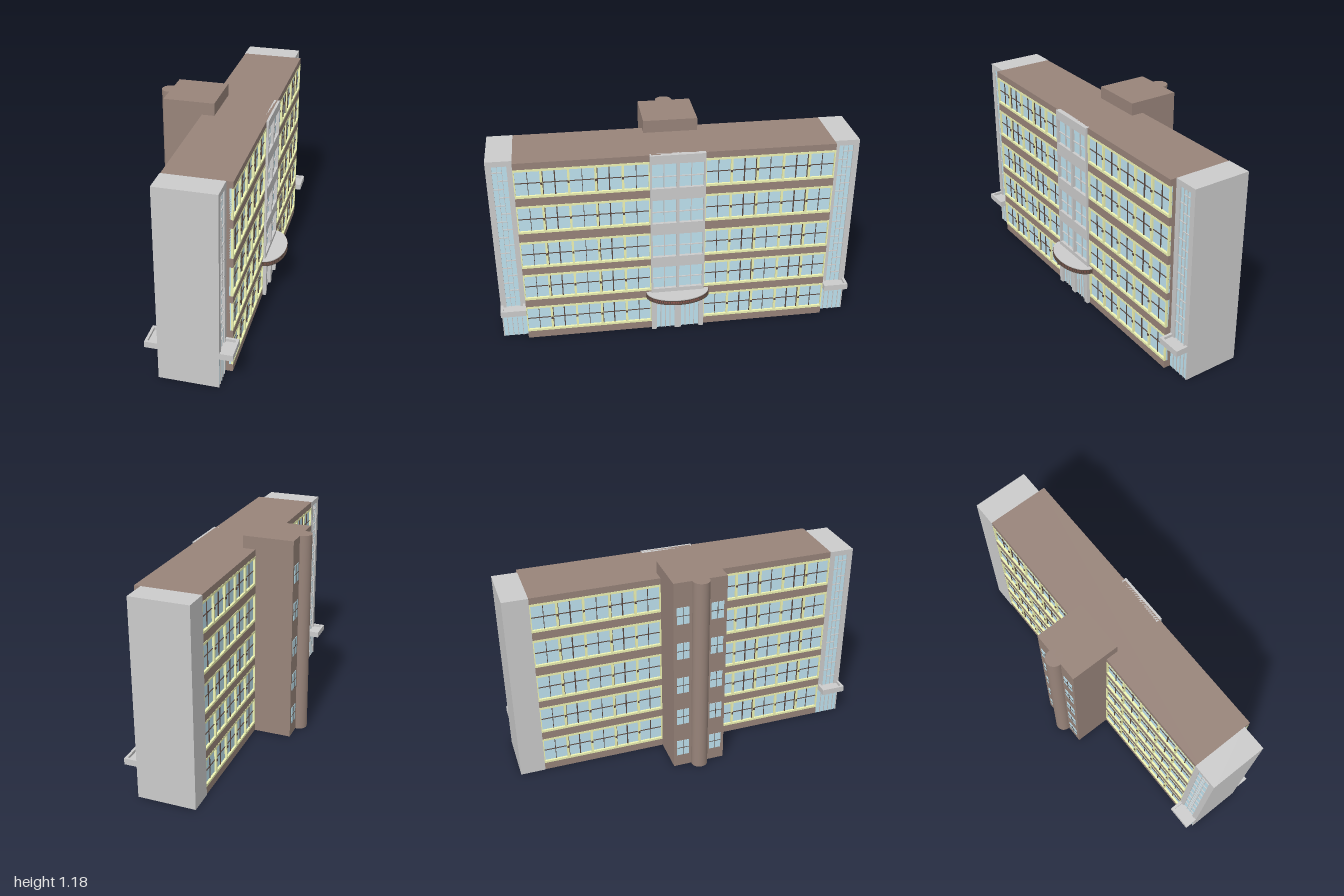
import * as THREE from 'three';
import { mergeGeometries } from 'three/addons/utils/BufferGeometryUtils.js';

const GREY = 0xcccccc, BROWN = 0x98847a, GLASS = 0xbfe3f0, YELLOW = 0xf0f5b4, DARK = 0x5c4a42, RED = 0x94584e;

export function createModel() {
  const model = new THREE.Group();
  const parts = new Map();

  // collects geometry under a part name, merged into one mesh at the end
  const add = (name, color, geo) => {
    if (!parts.has(name)) parts.set(name, { color, list: [] });
    parts.get(name).list.push(geo.index ? geo.toNonIndexed() : geo);
  };
  const box = (name, color, x0, x1, y0, y1, z0, z1) => {
    const g = new THREE.BoxGeometry(Math.abs(x1 - x0), Math.abs(y1 - y0), Math.abs(z1 - z0));
    g.translate((x0 + x1) / 2, (y0 + y1) / 2, (z0 + z1) / 2);
    add(name, color, g);
  };

  const X0 = -0.1, X1 = 0.255, TOP = 1.11, END = 0.86, MID = 0.15;
  const floors = [0.045, 0.26, 0.47, 0.69, 0.905];
  const H = 0.168;

  // main block: recessed core with projecting floor bands
  box('mainBlock', BROWN, X0 + 0.015, X1 - 0.015, 0, TOP, -END, END);
  [0, ...floors.map(y => y + H)].forEach((y, i) =>
    box('floorBands', BROWN, X0, X1, y, i < 5 ? floors[i] : TOP, -END, END));

  // ribbon windows on both long sides, five bays each side of the middle
  const bay = (END - MID) / 5;
  for (const [face, out] of [[X1, 1], [X0, -1]]) {
    const at = d => face + out * d;
    for (const m of [1, -1]) for (const y of floors) {
      const a = m * MID, b = m * END, top = y + H;
      box('windowGlass', GLASS, at(-0.02), at(-0.011), y, top, a, b);
      box('windowFrames', YELLOW, at(-0.014), at(0.001), y, y + 0.013, a, b);
      box('windowFrames', YELLOW, at(-0.014), at(0.001), top - 0.013, top, a, b);
      box('windowBars', DARK, at(-0.012), at(-0.007), y + 0.082, y + 0.086, a, b);
      for (let i = 0; i <= 5; i++) {
        const z = MID + i * bay;
        const z0 = i === 0 ? z : z - 0.006, z1 = i === 5 ? z : z + 0.006;
        box('windowFrames', YELLOW, at(-0.014), at(0.001), y, top, m * z0, m * z1);
        if (i > 0 && i < 5)
          box('windowKnobs', DARK, at(0), at(0.006), y + 0.078, y + 0.09, m * (z - 0.005), m * (z + 0.005));
        // alternate bays are split into narrow casements
        const splits = i === 5 ? [] : i % 2 ? [0.5, 0.95] : [0.5];
        for (const f of splits) {
          const s = z + f * bay, w = i % 2 ? 0.003 : 0.0015;
          box('windowBars', DARK, at(-0.012), at(-0.006), y, top, m * (s - w), m * (s + w));
        }
      }
    }
  }

  // end stair blocks; blank outside, glazed strip on the facades
  const EX = 0.22;
  for (const m of [1, -1]) {
    box('endBlocks', GREY, X0 - 0.002 + 0.012, EX - 0.012, 0, TOP, m * END, m);
    const sides = m > 0 ? [[EX, 1], [X0 - 0.003, -1]] : [[EX, 1]];
    if (m < 0) box('endBlocks', GREY, X0 - 0.003, 0, 0, TOP, m * END, m);
    for (const [face, out] of sides) {
      const at = d => face + out * d;
      const wall = (y0, y1, z0, z1) => box('endBlocks', GREY, at(-0.03), face, y0, y1, m * z0, m * z1);
      wall(0.18, TOP, END, 0.89);
      wall(0.18, TOP, 0.968, 1);
      wall(1.08, TOP, 0.89, 0.968);
      wall(0, 0.18, 0.994, 1);
      box('stairGlass', GLASS, at(-0.03), at(-0.008), 0.2, 1.08, m * 0.89, m * 0.968);
      box('entryGlass', GLASS, at(-0.03), at(-0.004), 0, 0.18, m * END, m * 0.994);
      // staggered glazing bars
      for (let i = 0; i < 17; i++) {
        const y = 0.26 + i * 0.049, left = i % 2;
        box('stairBars', GREY, at(-0.01), at(-0.002), y - 0.002, y + 0.002,
          m * (left ? 0.89 : 0.916), m * (left ? 0.942 : 0.968));
      }
      for (const z of [0.916, 0.942])
        box('stairBars', GREY, at(-0.01), at(-0.003), 0.2, 1.08, m * (z - 0.001), m * (z + 0.001));
      for (let i = 1; i < 5; i++) {
        const z = END + i * 0.028;
        box('entryBars', GREY, at(-0.006), at(0), 0, 0.18, m * (z - 0.002), m * (z + 0.002));
      }
      // tray-shaped slab over the ground floor glass
      box('endSlabs', GREY, at(-0.03), at(0.07), 0.18, 0.2, m * END, m);
      box('endSlabs', GREY, at(0.056), at(0.07), 0.2, 0.215, m * END, m);
      box('endSlabs', GREY, at(0), at(0.056), 0.2, 0.215, m * END, m * 0.875);
      box('endSlabs', GREY, at(0), at(0.056), 0.2, 0.215, m * 0.985, m);
    }
  }

  // central bay with paired windows
  const CX = 0.268;
  const bands = [0.17, 0.275, 0.42, 0.485, 0.63, 0.7, 0.845, 0.915, 1.06, TOP];
  for (let i = 0; i < bands.length; i += 2)
    box('centralBay', GREY, 0.235, CX, bands[i], bands[i + 1], -MID, MID);
  for (const [z0, z1] of [[-MID, -0.14], [-0.008, 0.008], [0.14, MID]])
    box('centralBay', GREY, 0.235, CX, 0.17, TOP, z0, z1);
  box('centralGlass', GLASS, 0.235, 0.25, 0.2, 1.08, -0.145, 0.145);
  for (let i = 1; i < bands.length - 1; i += 2) {
    const y0 = bands[i], y1 = bands[i + 1], yc = y0 + (y1 - y0) * 0.45;
    for (const m of [1, -1]) {
      box('centralBars', GREY, 0.248, 0.258, yc - 0.002, yc + 0.002, m * 0.008, m * 0.14);
      box('centralBars', GREY, 0.248, 0.258, y0, y1, m * 0.072, m * 0.076);
    }
  }

  // entrance: posts, lintel and glazed doors
  const DX = 0.275;
  for (const [z0, z1] of [[-MID, -0.122], [-0.018, 0.018], [0.122, MID]])
    box('entrancePosts', GREY, 0.235, DX, 0, 0.175, z0, z1);
  box('entrancePosts', GREY, 0.235, DX, 0.17, 0.22, -MID, MID);
  box('doorGlass', GLASS, 0.235, 0.258, 0, 0.17, -0.125, 0.125);
  for (const z of [-0.096, -0.07, -0.044, 0.044, 0.07, 0.096])
    box('doorBars', GREY, 0.256, 0.264, 0, 0.17, z - 0.002, z + 0.002);

  // half-elliptical canopy with a ribbed rim
  const canopy = (name, color, rx, rz, y, h) => {
    const s = new THREE.Shape();
    s.absellipse(0, 0, rx, rz, -Math.PI / 2, Math.PI / 2, false, 0);
    s.closePath();
    const g = new THREE.ExtrudeGeometry(s, { depth: h, bevelEnabled: false, curveSegments: 32 });
    add(name, color, g.rotateX(-Math.PI / 2).translate(X1, y, 0));
  };
  canopy('canopyTop', GREY, 0.106, 0.178, 0.243, 0.008);
  canopy('canopyRim', RED, 0.102, 0.174, 0.226, 0.017);
  canopy('canopyUnderside', DARK, 0.109, 0.181, 0.22, 0.006);
  canopy('canopyTrim', DARK, 0.109, 0.181, 0.241, 0.005);
  for (let i = 0; i <= 40; i++) {
    const t = (i / 40 - 0.5) * Math.PI;
    const x = X1 + 0.103 * Math.cos(t), z = 0.176 * Math.sin(t);
    box('canopyRibs', DARK, x - 0.002, x + 0.003, 0.224, 0.244, z - 0.002, z + 0.002);
  }

  // rear lift tower with a round shaft and small windows
  const TX = -0.315, TH = 1.18;
  box('rearTower', BROWN, TX, -0.03, 0, TH, -MID, MID);
  add('towerShaft', BROWN, new THREE.CylinderGeometry(0.047, 0.047, TH, 32).translate(TX - 0.007, TH / 2, 0));
  for (const m of [1, -1]) for (const y of floors) {
    const y0 = y + 0.03, y1 = y + 0.13;
    box('towerGlass', GLASS, TX - 0.002, TX + 0.005, y0, y1, m * 0.062, m * 0.132);
    box('towerBars', DARK, TX - 0.004, TX, y0, y1, m * 0.0955, m * 0.0985);
    box('towerBars', DARK, TX - 0.004, TX, y + 0.079, y + 0.082, m * 0.062, m * 0.132);
  }

  for (const [name, { color, list }] of parts) {
    const mesh = new THREE.Mesh(mergeGeometries(list), new THREE.MeshStandardMaterial({ color }));
    mesh.name = name;
    model.add(mesh);
  }
  return model;
}
